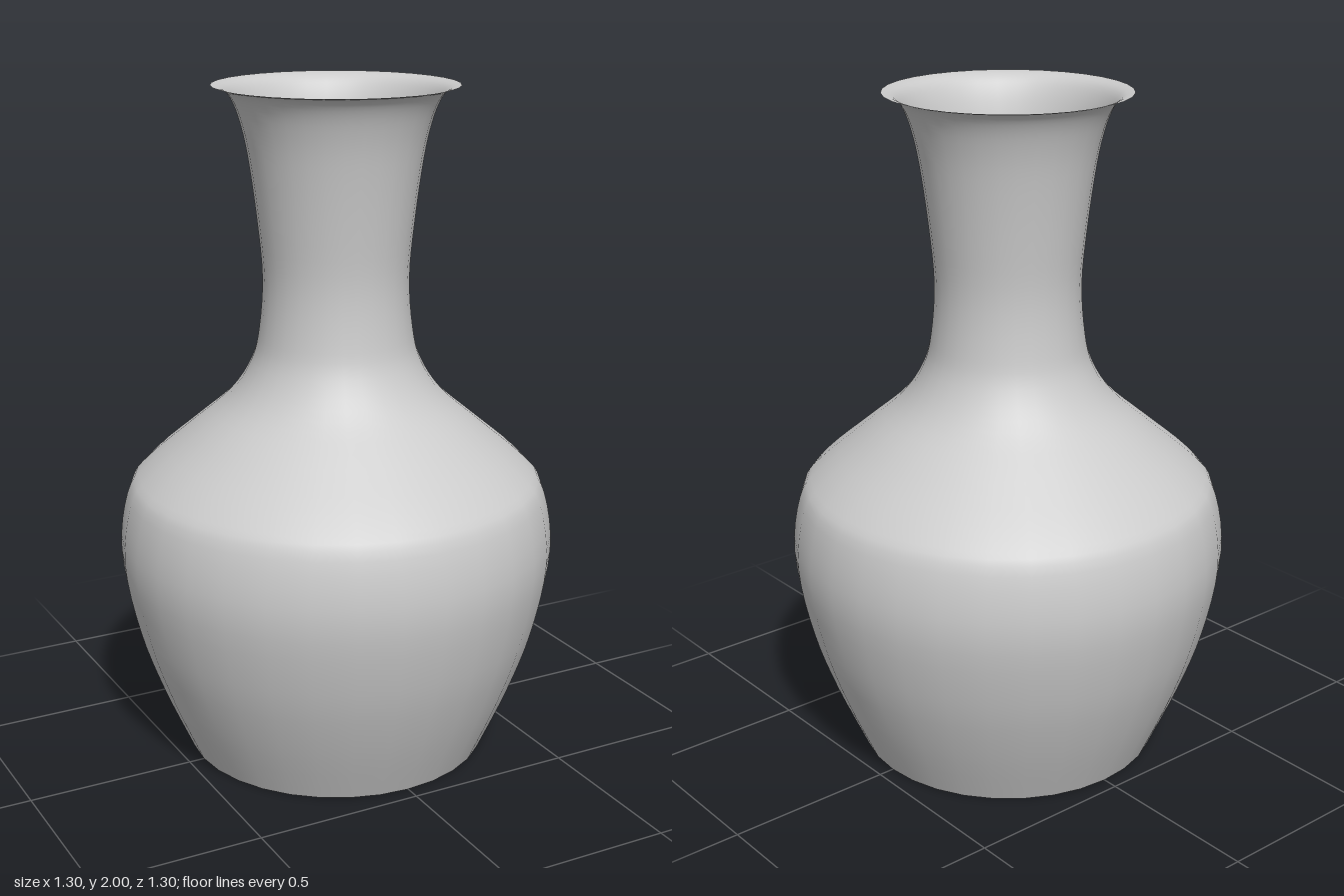
import * as THREE from 'three';

const SIDES = 32;

export function createModel() {
  const group = new THREE.Group();
  group.name = 'vase';
  const material = new THREE.MeshStandardMaterial({ color: 0xcccccc, side: THREE.DoubleSide });

  // Thin wall: foot, belly, shoulder, neck and flared lip in one smooth profile
  const profile = new THREE.SplineCurve([
    [0.453, 0], [0.54, 0.2], [0.608, 0.4], [0.648, 0.62], [0.625, 0.8],
    [0.57, 0.88], [0.43, 1.0], [0.315, 1.1], [0.25, 1.2], [0.225, 1.3],
    [0.214, 1.45], [0.228, 1.62], [0.252, 1.8], [0.274, 1.9],
    [0.297, 1.96], [0.322, 1.99], [0.355, 2],
  ].map(([r, y]) => new THREE.Vector2(r, y)));
  const wall = new THREE.Mesh(new THREE.LatheGeometry(profile.getPoints(64), SIDES), material);
  wall.name = 'wall';
  group.add(wall);

  // Flat floor closing the foot
  const floor = new THREE.Mesh(new THREE.CircleGeometry(0.453, SIDES), material);
  floor.name = 'floor';
  floor.rotation.x = Math.PI / 2;
  group.add(floor);

  return group;
}
